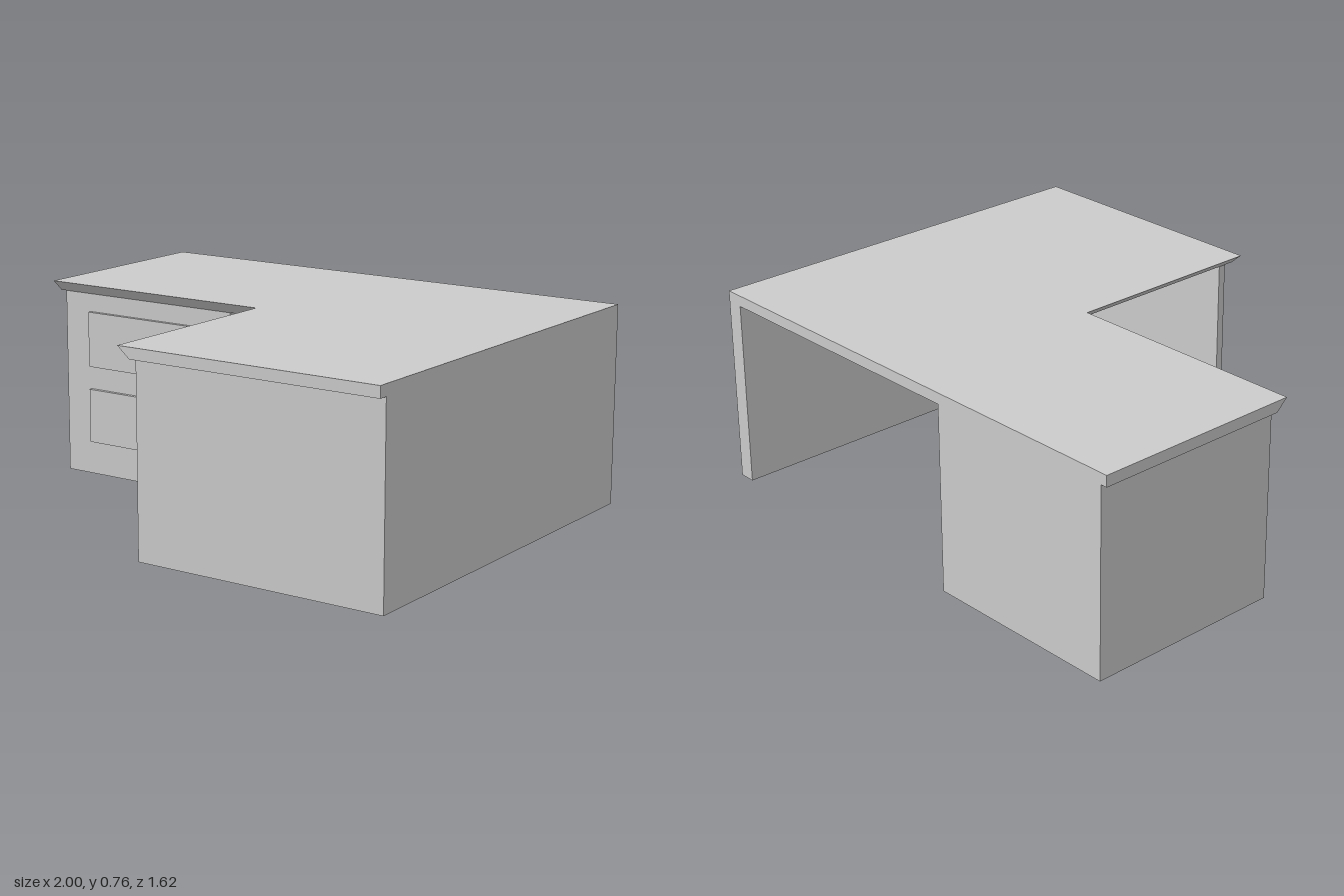
import * as THREE from 'three';

const material = new THREE.MeshStandardMaterial({ color: 0xcccccc, side: THREE.DoubleSide });
const TOP = 0.757, UNDER = 0.715, BACK = -0.81;

function add(parent, name, geometry, x = 0, y = 0, z = 0) {
  const mesh = new THREE.Mesh(geometry, material);
  mesh.name = name;
  mesh.position.set(x, y, z);
  parent.add(mesh);
  return mesh;
}

// Box given by its two opposite corners
function block(parent, name, [x0, y0, z0], [x1, y1, z1]) {
  return add(parent, name, new THREE.BoxGeometry(x1 - x0, y1 - y0, z1 - z0),
    (x0 + x1) / 2, (y0 + y1) / 2, (z0 + z1) / 2);
}

function rectangle(path, x0, y0, x1, y1) {
  path.moveTo(x0, y0).lineTo(x1, y0).lineTo(x1, y1).lineTo(x0, y1).closePath();
  return path;
}

// L-shaped top; its two inner edges slope back towards the underside
function createTop() {
  const shape = new THREE.Shape([
    [-1, -BACK], [-1, -0.01], [-0.04, -0.01], [-0.04, -0.81], [1, -0.81], [1, -BACK],
  ].map(([x, y]) => new THREE.Vector2(x, y)));
  const geometry = new THREE.ExtrudeGeometry(shape, { depth: TOP - UNDER, bevelEnabled: false });
  geometry.rotateX(-Math.PI / 2);
  const p = geometry.attributes.position;
  for (let i = 0; i < p.count; i++) {
    if (p.getY(i) > 0.01) continue;
    if (Math.abs(p.getX(i) + 0.04) < 0.001) p.setX(i, 0.01);
    if (Math.abs(p.getZ(i) - 0.01) < 0.001) p.setZ(i, -0.035);
  }
  geometry.computeVertexNormals();
  return geometry;
}

// Hollow drawer cabinet, open underneath
function createCabinet() {
  const cabinet = new THREE.Group();
  cabinet.name = 'drawerCabinet';
  const x0 = -0.975, x1 = -0.19, front = -0.035;
  const drawerX0 = -0.855, drawerX1 = -0.305, proud = 0.015;
  const depth = front - BACK, midX = (x0 + x1) / 2, midZ = (front + BACK) / 2;

  for (const [name, x, turn] of [['cabinetRightSide', x0, -1], ['cabinetLeftSide', x1, 1]]) {
    add(cabinet, name, new THREE.PlaneGeometry(depth, UNDER), x, UNDER / 2, midZ)
      .rotation.y = turn * Math.PI / 2;
  }
  add(cabinet, 'cabinetBack', new THREE.PlaneGeometry(x1 - x0, UNDER), midX, UNDER / 2, BACK)
    .rotation.y = Math.PI;

  // Front with an opening for each drawer
  const face = rectangle(new THREE.Shape(), x0, 0, x1, UNDER);
  for (const [y0, y1] of [[0.13, 0.34], [0.43, 0.645]]) {
    face.holes.push(rectangle(new THREE.Path(), drawerX0, y0, drawerX1, y1));
    const drawer = new THREE.Group();
    drawer.name = 'drawer';
    cabinet.add(drawer);
    const w = drawerX1 - drawerX0, h = y1 - y0;
    const cx = (drawerX0 + drawerX1) / 2, cy = (y0 + y1) / 2, cz = front + proud / 2;
    add(drawer, 'drawerFront', new THREE.PlaneGeometry(w, h), cx, cy, front + proud);
    for (const s of [-1, 1]) {
      add(drawer, 'drawerSideEdge', new THREE.PlaneGeometry(proud, h), cx + s * w / 2, cy, cz)
        .rotation.y = s * Math.PI / 2;
      add(drawer, 'drawerLevelEdge', new THREE.PlaneGeometry(w, proud), cx, cy + s * h / 2, cz)
        .rotation.x = -s * Math.PI / 2;
    }
    add(drawer, 'drawerKnob', new THREE.SphereGeometry(0.035, 32, 20), -0.562, cy - 0.003, -0.007);
  }
  add(cabinet, 'cabinetFront', new THREE.ShapeGeometry(face), 0, 0, front);
  return cabinet;
}

export function createModel() {
  const desk = new THREE.Group();
  desk.name = 'cornerDesk';
  add(desk, 'deskTop', createTop(), 0, UNDER, 0);
  // Long side wall and thin front panel carry the other wing
  block(desk, 'sideWall', [0.935, 0, BACK], [1, UNDER, 0.775]);
  block(desk, 'frontPanel', [0.01, 0, 0.745], [0.935, UNDER, 0.775]);
  desk.add(createCabinet());
  return desk;
}
